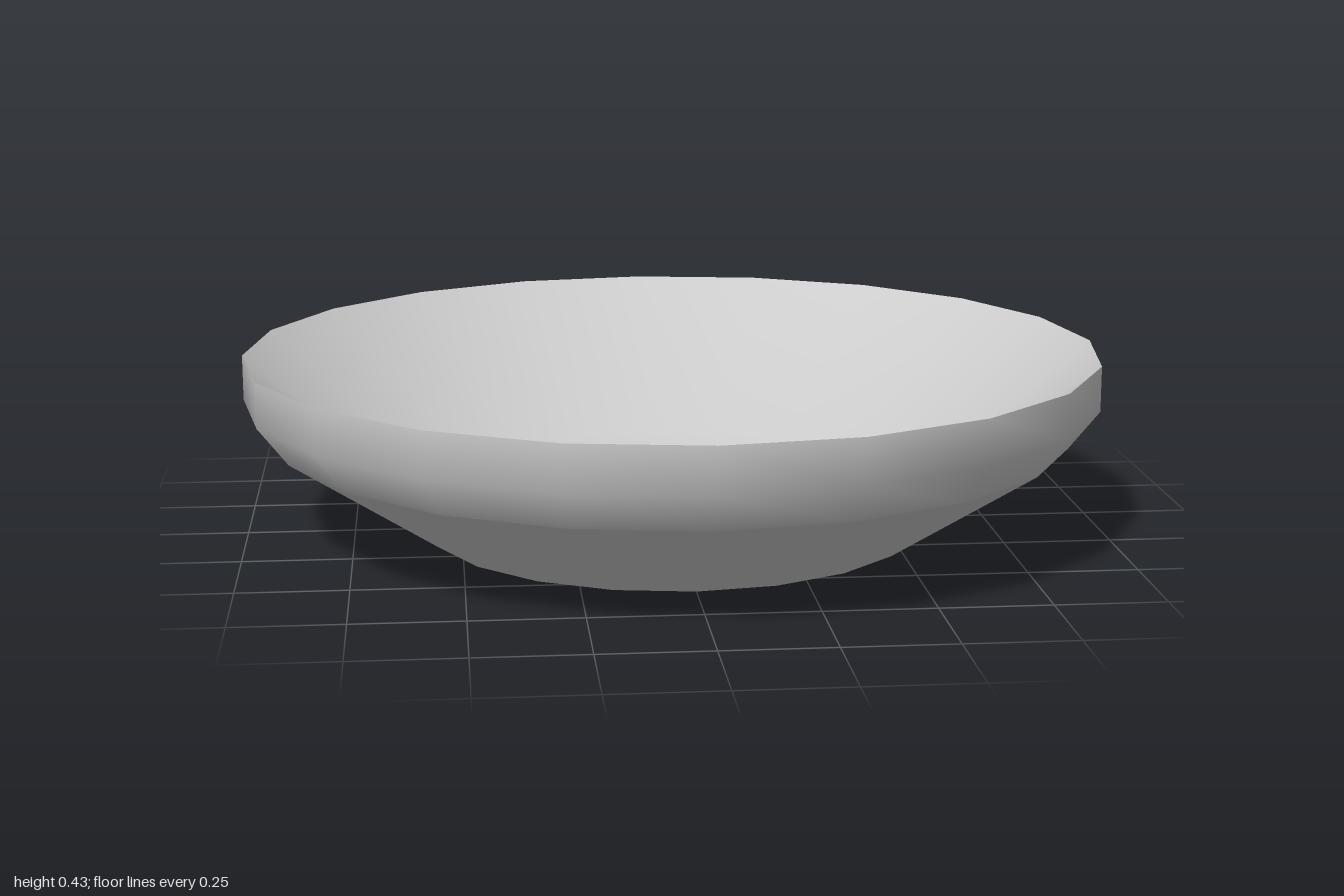
import * as THREE from 'three';

const SIDES = 20;

export function createModel() {
  const group = new THREE.Group();
  group.name = 'bowl';
  const material = new THREE.MeshStandardMaterial({ color: 0xcccccc });

  // Each surface is its own lathe, so shading is smooth within it and sharp between them
  const addRing = (name, profile) => {
    const points = profile.map(([r, y]) => new THREE.Vector2(r, y));
    const mesh = new THREE.Mesh(new THREE.LatheGeometry(points, SIDES), material);
    mesh.name = name;
    group.add(mesh);
  };

  // Flat underside
  addRing('base', [[0, 0], [0.58, 0]]);
  // Sloping lower wall
  addRing('lowerWall', [[0.58, 0], [0.93, 0.23]]);
  // Rounded upper wall up to the thin rim
  addRing('upperWall', [[0.93, 0.23], [1, 0.32], [1, 0.425]]);
  // Hollow: sloping side down to a flat floor
  addRing('inside', [[1, 0.425], [0.58, 0.09], [0, 0.09]]);

  return group;
}
